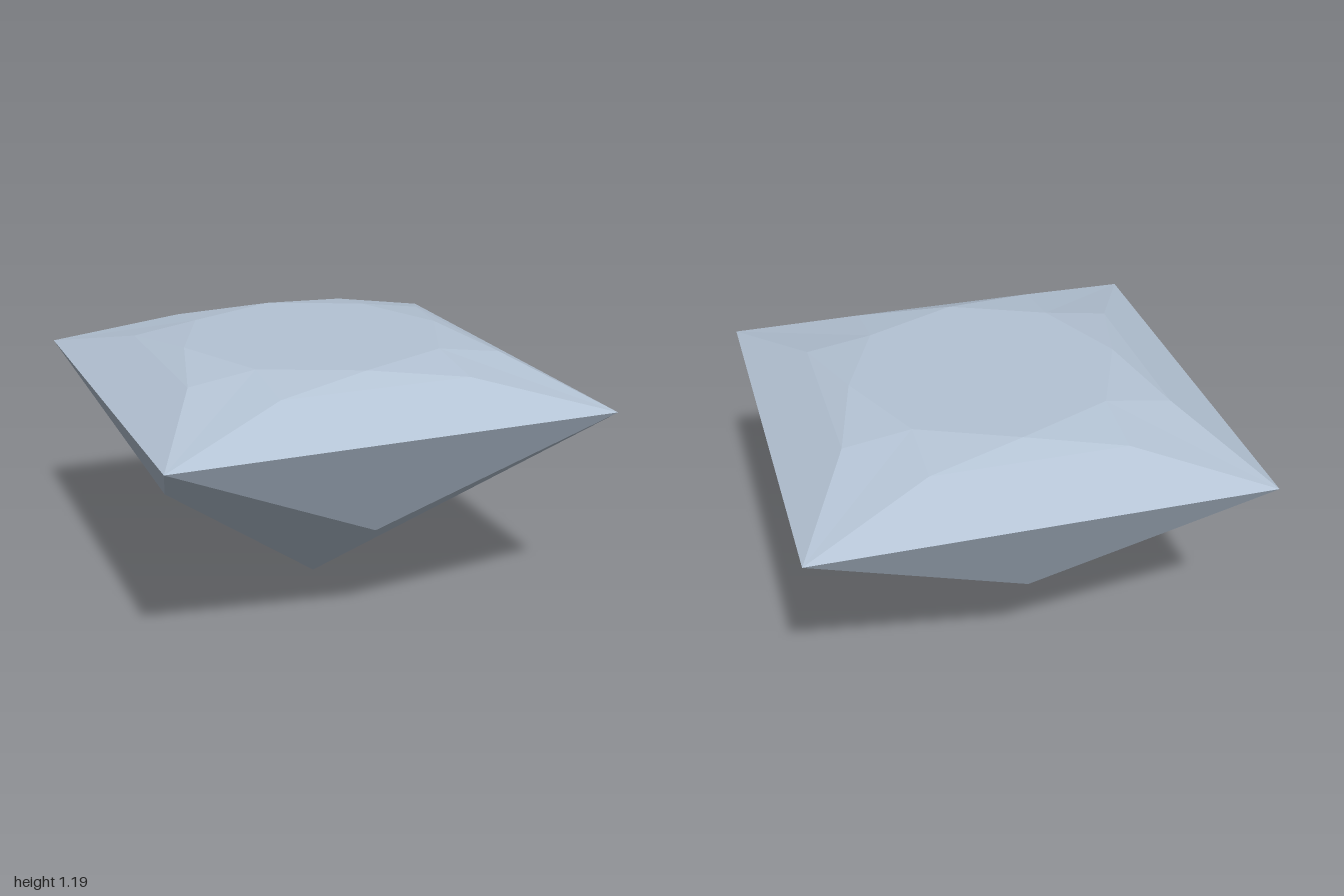
import * as THREE from 'three';

const crystal = new THREE.MeshStandardMaterial({ color: 0xb4c3d4, flatShading: true });
crystal.name = 'pale steel blue';

// Key points of the cut, given for the front quarter of the gem
const girdleL = [-1, 1, 1], girdleR = [1, 1, 1];
const crownL = [-0.43, 1.145, 0.73], crownR = [0.43, 1.145, 0.73], crownSide = [0.73, 1.145, 0.43];
const tableMid = [0, 1.19, 0.615], tableL = [-0.43, 1.19, 0.43], tableR = [0.43, 1.19, 0.43];
const tableCentre = [0, 1.19, 0];
const belly = [0, 0.505, 0.73], tip = [0, 0, 0];

// Flat facets, repeated around the vertical axis in four quarter turns
function facets(name, polygons) {
  const pos = [];
  for (let k = 0; k < 4; k++) {
    const c = Math.round(Math.cos(k * Math.PI / 2)), s = Math.round(Math.sin(k * Math.PI / 2));
    const turn = ([x, y, z]) => [c * x + s * z, y, c * z - s * x];
    for (const poly of polygons) {
      for (let i = 1; i < poly.length - 1; i++) {
        pos.push(...turn(poly[0]), ...turn(poly[i]), ...turn(poly[i + 1]));
      }
    }
  }
  const geometry = new THREE.BufferGeometry();
  geometry.setAttribute('position', new THREE.Float32BufferAttribute(pos, 3));
  geometry.computeVertexNormals();
  const mesh = new THREE.Mesh(geometry, crystal);
  mesh.name = name;
  return mesh;
}

export function createModel() {
  const gem = new THREE.Group();
  gem.name = 'gem';

  // Flat octagonal top
  gem.add(facets('table', [
    [tableCentre, tableMid, tableR],
    [tableCentre, tableL, tableMid],
  ]));

  // Sloping upper facets between girdle and table
  gem.add(facets('crown', [
    [girdleL, girdleR, crownR, crownL],
    [crownL, crownR, tableMid],
    [crownR, tableR, tableMid],
    [crownL, tableMid, tableL],
    [girdleR, crownSide, tableR, crownR],
  ]));

  // Lower facets running down to the tip
  gem.add(facets('pavilion', [
    [girdleL, belly, girdleR],
    [belly, tip, girdleR],
    [girdleL, tip, belly],
  ]));

  return gem;
}
